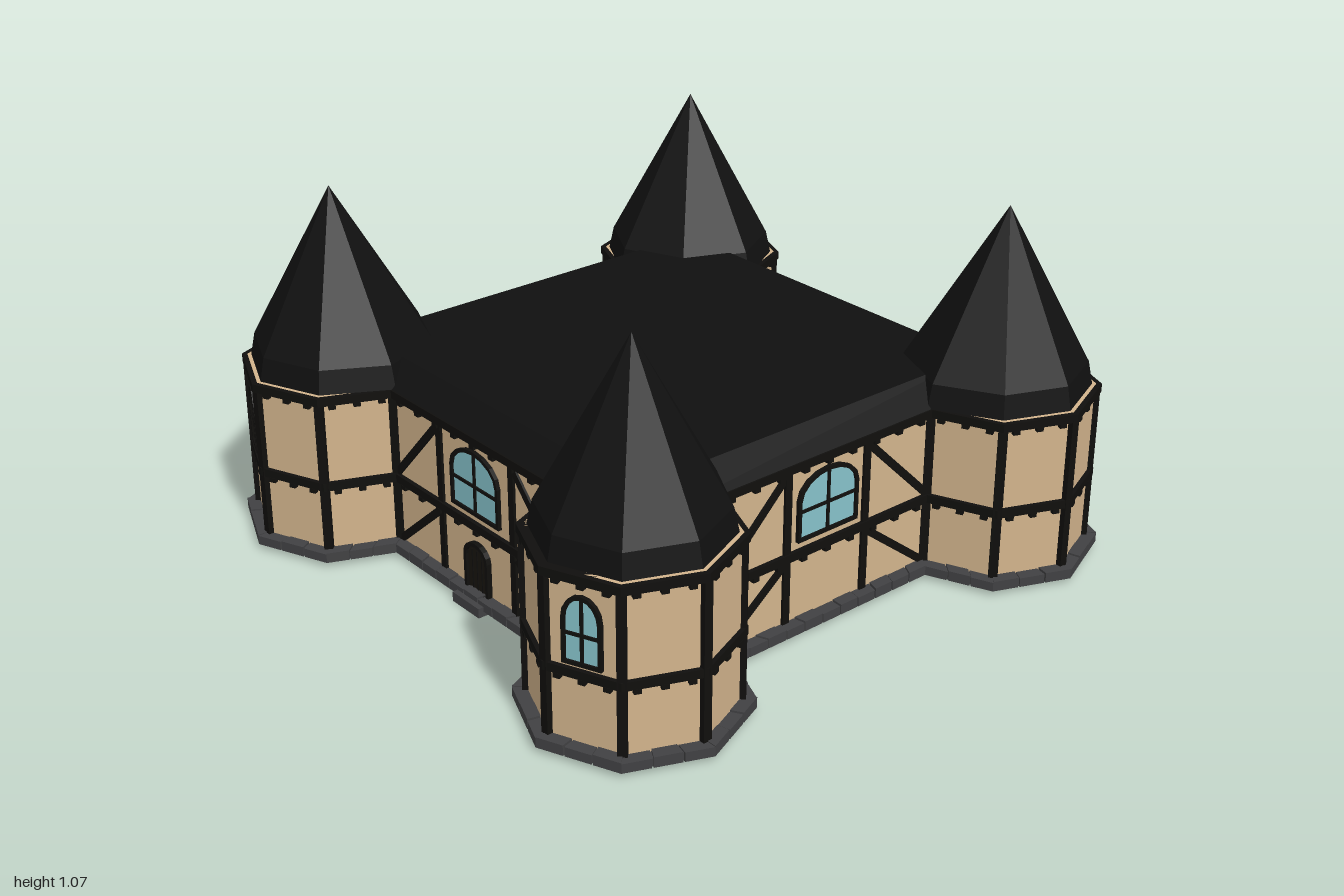
import * as THREE from 'three';
import { mergeGeometries } from 'three/addons/utils/BufferGeometryUtils.js';

const mat = (name, color) => {
  const m = new THREE.MeshStandardMaterial({ color });
  m.name = name;
  return m;
};
const V = (x, y) => new THREE.Vector2(x, y);

const C = 0.68, R = 0.28, EIGHTH = Math.PI / 4;
const WALL_TOP = 0.53, ROOF_Y = 0.605, APEX = 1.065;

// Plan outline: a square with an octagonal tower on each corner, as (x, -z), counter-clockwise
function planOutline() {
  const pts = [];
  for (let k = 0; k < 4; k++) {
    const mid = EIGHTH + k * Math.PI / 2;
    const cx = C * Math.sign(Math.cos(mid)), cy = C * Math.sign(Math.sin(mid));
    for (let i = -3; i <= 3; i++) {
      const a = mid + i * EIGHTH;
      pts.push(V(cx + R * Math.cos(a), cy + R * Math.sin(a)));
    }
  }
  return pts;
}

const edgeNormal = (a, b) => V(b.y - a.y, a.x - b.x).normalize();

// Vertex normals scaled so that each edge moves outward by one unit
function miters(pts) {
  const n = pts.length;
  return pts.map((p, i) => {
    const n1 = edgeNormal(pts[(i + n - 1) % n], p), n2 = edgeNormal(p, pts[(i + 1) % n]);
    return n1.clone().add(n2).divideScalar(1 + n1.dot(n2));
  });
}

// Extrude a plan polygon upward from y0 to y1
function slab(pts, y0, y1, hole) {
  const s = new THREE.Shape(pts);
  if (hole) s.holes.push(new THREE.Path(hole));
  const g = new THREE.ExtrudeGeometry(s, { depth: y1 - y0, bevelEnabled: false });
  return g.rotateX(-Math.PI / 2).translate(0, y0, 0);
}

function box(w, h, d, x = 0, y = 0, z = 0, rotZ = 0) {
  return new THREE.BoxGeometry(w, h, d).rotateZ(rotZ).translate(x, y, z);
}

const flat = (g) => {
  const f = g.index ? g.toNonIndexed() : g;
  f.computeVertexNormals();
  return f;
};

// Opening with a rounded top, standing on y = 0
function archPoints(w, h, rise) {
  const pts = [V(-w / 2, 0), V(w / 2, 0)];
  for (let i = 0; i <= 8; i++) {
    const a = i * Math.PI / 8;
    pts.push(V(w / 2 * Math.cos(a), h - rise + rise * Math.sin(a)));
  }
  return pts;
}

function archPlate(w, h, rise, depth, border = 0) {
  const s = new THREE.Shape(archPoints(w, h, rise));
  if (border) {
    const inner = archPoints(w - 2 * border, h - 2 * border, rise - border * 0.6);
    s.holes.push(new THREE.Path(inner.map((p) => V(p.x, p.y + border))));
  }
  return new THREE.ExtrudeGeometry(s, { depth, bevelEnabled: false });
}

export function createModel() {
  const plaster = mat('plaster', 0xd2b48c);
  const timber = mat('timber', 0x100f0d);
  const roofing = mat('roofing', 0x101010);
  const stone = mat('stone', 0x414143);
  const glass = mat('glass', 0x86c2ca);
  const doorWood = mat('door wood', 0x17140f);

  const model = new THREE.Group();
  model.name = 'timberedManor';
  const add = (parent, name, geo, material) => {
    const m = new THREE.Mesh(geo, material);
    m.name = name;
    parent.add(m);
    return m;
  };
  const addMerged = (parent, name, list, material) =>
    add(parent, name, mergeGeometries(list.map(flat)), material);

  const outline = planOutline(), miter = miters(outline), N = outline.length;
  const grow = (o) => outline.map((p, i) => p.clone().addScaledVector(miter[i], o));

  // Walls and the two belt rails
  add(model, 'walls', slab(outline, 0.017, WALL_TOP), plaster);
  add(model, 'middleRail', slab(grow(0.013), 0.235, 0.26), timber);
  add(model, 'topRail', slab(grow(0.015), 0.505, WALL_TOP), timber);

  // Plinth stones, corner posts and the small blocks under the rails
  const outer = grow(0.037), stones = [], posts = [], blocks = [];
  stones.push(slab(grow(0.03), 0.015, 0.039, outline));
  for (let i = 0; i < N; i++) {
    const j = (i + 1) % N;
    const a = outline[i], b = outline[j], oa = outer[i], ob = outer[j];
    const len = a.distanceTo(b), count = Math.max(3, Math.round(len / 0.075));
    for (let k = 0; k < count; k++) {
      const t0 = k === 0 ? 0 : (k + 0.03) / count;
      const t1 = k === count - 1 ? 1 : (k + 0.97) / count;
      const quad = [a.clone().lerp(b, t0), oa.clone().lerp(ob, t0),
        oa.clone().lerp(ob, t1), a.clone().lerp(b, t1)];
      stones.push(slab(quad, 0.015, 0.043 + 0.003 * ((i + k) % 2)));
    }
    const n = edgeNormal(a, b), yaw = Math.atan2(n.x, -n.y);
    const blockCount = Math.max(3, Math.round(len / 0.085));
    for (let k = 0; k < blockCount; k++) {
      const p = a.clone().lerp(b, (k + 0.5) / blockCount).addScaledVector(n, 0.006);
      for (const y of [0.229, 0.499]) {
        blocks.push(box(0.02, 0.014, 0.016).rotateY(yaw).translate(p.x, y, -p.y));
      }
    }
    const m = miter[i];
    posts.push(box(0.026, 0.48, 0.022).rotateY(Math.atan2(m.x, -m.y)).translate(a.x, 0.28, -a.y));
  }
  addMerged(model, 'plinthStones', stones, stone);
  addMerged(model, 'cornerPosts', posts, timber);
  addMerged(model, 'railBlocks', blocks, timber);

  // Window on a wall facing +z of its group
  function addWindow(parent, w, h, rise, y, bar) {
    const g = new THREE.Group();
    g.name = 'window';
    g.position.y = y;
    add(g, 'pane', archPlate(w - 0.01, h - 0.005, rise, 0.005), glass);
    add(g, 'windowFrame', archPlate(w, h, rise, 0.012, 0.011), timber);
    addMerged(g, 'glazingBars', [
      box(0.009, h - 0.01, 0.01, 0, h / 2, 0.005),
      box(w - 0.01, 0.009, 0.01, 0, bar, 0.005),
    ], timber);
    parent.add(g);
  }

  // Four facades between the towers
  for (let f = 0; f < 4; f++) {
    const facade = new THREE.Group();
    facade.name = ['front', 'left', 'back', 'right'][f] + 'Facade';
    const yaw = f * Math.PI / 2;
    facade.rotation.y = yaw;
    facade.position.set(C * Math.sin(yaw), 0, C * Math.cos(yaw));
    const px = f % 2 ? 0.148 : 0.17, beams = [];
    for (const s of [-1, 1]) {
      beams.push(box(0.024, 0.48, 0.016, s * px, 0.28, 0));
      for (const [y0, y1] of [[0.045, 0.228], [0.265, 0.495]]) {
        const dx = 0.392 - px - 0.008, dy = y1 - y0;
        beams.push(box(Math.hypot(dx, dy), 0.023, 0.014,
          s * (0.392 + px + 0.008) / 2, (y0 + y1) / 2, 0, -s * Math.atan2(dy, dx)));
      }
    }
    addMerged(facade, 'timberBeams', beams, timber);
    addWindow(facade, 0.225, 0.2, 0.075, 0.283, 0.09);

    // Front door with planks and a stone step
    if (f === 0) {
      const door = new THREE.Group();
      door.name = 'frontDoor';
      door.position.y = 0.03;
      add(door, 'doorLeaf', archPlate(0.1, 0.16, 0.04, 0.008), doorWood);
      add(door, 'doorFrame', archPlate(0.112, 0.167, 0.045, 0.016, 0.012), timber);
      addMerged(door, 'doorPlanks', [-0.022, 0, 0.022].map(
        (x) => box(0.004, 0.14, 0.01, x, 0.07, 0.005)), timber);
      facade.add(door);
      add(facade, 'doorStep', box(0.126, 0.03, 0.055, 0, 0.015, 0.027), stone);
    }
    model.add(facade);
  }

  // Main roof: low hipped edge with a flat top
  const mainRoof = new THREE.CylinderGeometry(0.63 * Math.SQRT2, 0.69 * Math.SQRT2,
    ROOF_Y - WALL_TOP, 4).rotateY(EIGHTH).translate(0, (ROOF_Y + WALL_TOP) / 2, 0);
  add(model, 'mainRoof', flat(mainRoof), roofing);

  // Corner towers: steep eave, spire and one window toward the front or back
  for (const sx of [-1, 1]) for (const sz of [-1, 1]) {
    const tower = new THREE.Group();
    tower.name = (sz > 0 ? 'front' : 'back') + (sx > 0 ? 'Left' : 'Right') + 'Tower';
    tower.position.set(sx * C, 0, sz * C);
    const profile = [V(0.268, WALL_TOP), V(0.253, 0.6), V(0, APEX)];
    const spire = new THREE.LatheGeometry(profile, 8);
    const p = spire.attributes.position;
    // the side toward the main roof spreads out a little
    for (let i = 0; i < p.count; i++) {
      if (p.getX(i) * sx + p.getZ(i) * sz < -0.1) {
        p.setX(i, p.getX(i) * 1.1);
        p.setZ(i, p.getZ(i) * 1.1);
      }
    }
    add(tower, 'spire', flat(spire), roofing);

    const nx = sx * Math.sin(EIGHTH / 2), nz = sz * Math.cos(EIGHTH / 2);
    const inr = R * Math.cos(EIGHTH / 2);
    const bay = new THREE.Group();
    bay.name = 'windowBay';
    bay.position.set(nx * inr, 0, nz * inr);
    bay.rotation.y = Math.atan2(nx, nz);
    addWindow(bay, 0.114, 0.2, 0.07, 0.272, 0.088);
    tower.add(bay);
    model.add(tower);
  }
  return model;
}
